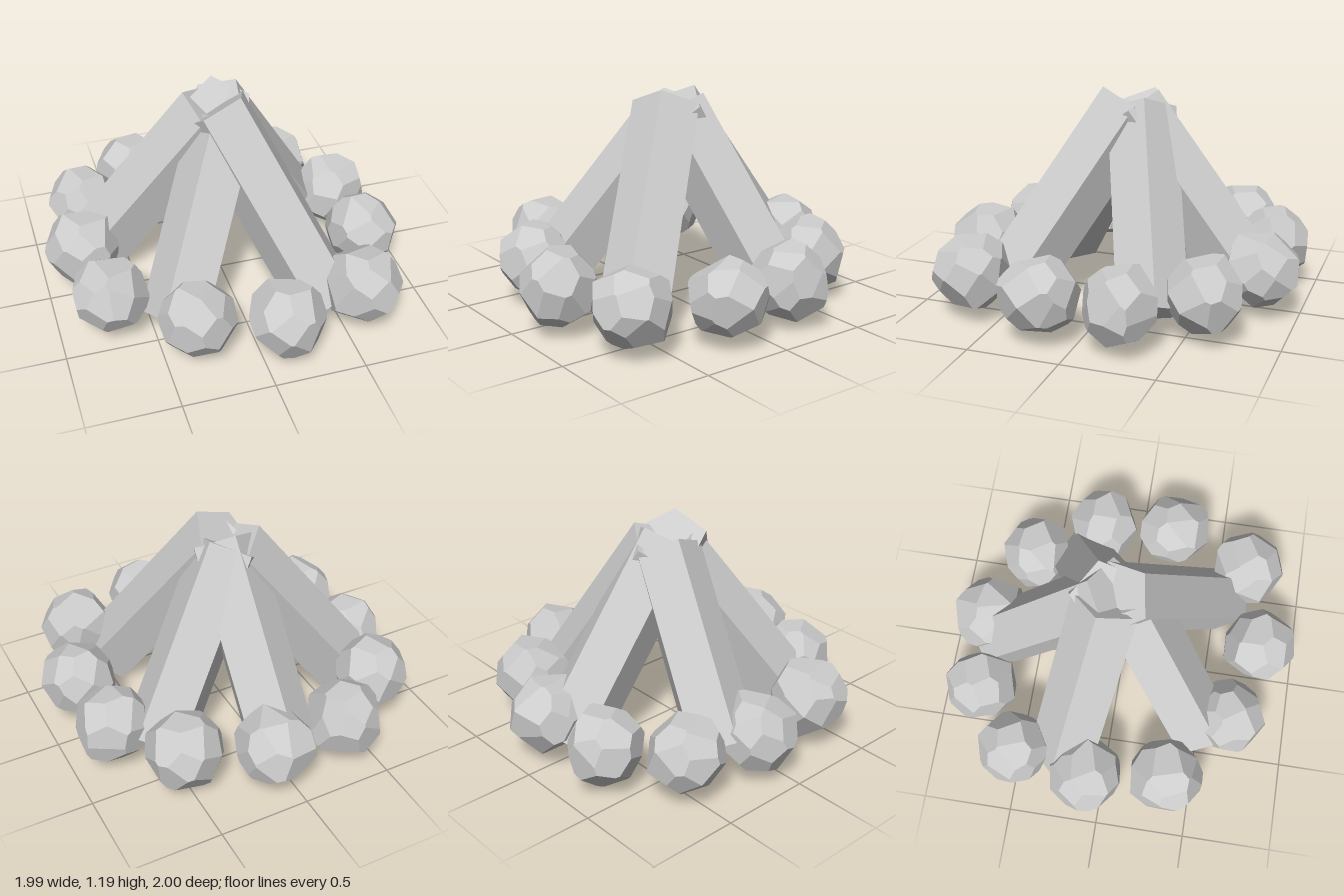
import * as THREE from 'three';
import { ConvexGeometry } from 'three/addons/geometries/ConvexGeometry.js';

const V = (x, y, z) => new THREE.Vector3(x, y, z);
const material = new THREE.MeshStandardMaterial({ color: 0xcccccc, flatShading: true });

function seeded(seed) {
  return () => (seed = (seed * 16807) % 2147483647) / 2147483647;
}

// Rounded rock: a ball shaved flat by jittered, evenly spread planes
function stoneGeometry(seed, radius) {
  const rand = seeded(seed);
  const count = 28, planes = [];
  for (let i = 0; i < count; i++) {
    const y = 1 - (2 * i + 1) / count, a = i * 2.39996, r = Math.sqrt(1 - y * y);
    const jitter = () => (rand() - 0.5) * 0.42;
    const n = V(r * Math.cos(a) + jitter(), y + jitter(), r * Math.sin(a) + jitter()).normalize();
    planes.push({ n, d: 0.97 + rand() * 0.05 });
  }
  // Corners: where three planes meet and no other plane cuts them off
  const corners = [];
  for (let i = 0; i < count; i++)
    for (let j = i + 1; j < count; j++)
      for (let k = j + 1; k < count; k++) {
        const [p, q, s] = [planes[i], planes[j], planes[k]];
        const qs = q.n.clone().cross(s.n), det = p.n.dot(qs);
        if (Math.abs(det) < 1e-4) continue;
        const c = qs.multiplyScalar(p.d)
          .addScaledVector(s.n.clone().cross(p.n), q.d)
          .addScaledVector(p.n.clone().cross(q.n), s.d)
          .divideScalar(det);
        if (planes.every((o) => o.n.dot(c) < o.d + 1e-6)) corners.push(c);
      }
  // Fit to the wanted size and centre
  const box = new THREE.Box3().setFromPoints(corners);
  const mid = box.getCenter(V(0, 0, 0)), size = box.getSize(V(0, 0, 0));
  corners.forEach((c) => c.sub(mid).multiplyScalar(2 * radius).divide(size));
  return new ConvexGeometry(corners);
}

// Five-sided log from bottom to top centre, with one ridge facing up and out
function makeLog(bottom, top) {
  const axis = top.clone().sub(bottom), length = axis.length();
  axis.normalize();
  const ridge = V(0, 1, 0).addScaledVector(axis, -axis.y).normalize();
  const side = axis.clone().cross(ridge);
  const log = new THREE.Mesh(new THREE.CylinderGeometry(0.195, 0.195, length, 5), material);
  log.quaternion.setFromRotationMatrix(new THREE.Matrix4().makeBasis(side, axis, ridge));
  log.position.copy(bottom).add(top).multiplyScalar(0.5);
  return log;
}

export function createModel() {
  const model = new THREE.Group();
  model.name = 'campfire';

  // Logs leaning together
  const logs = new THREE.Group();
  logs.name = 'logs';
  [
    [V(0.446, 0.095, 0.542), V(-0.02, 1.075, -0.02)],
    [V(-0.395, 0.13, 0.505), V(0.03, 1.0, 0)],
    [V(-0.665, 0.165, -0.24), V(-0.03, 1.03, -0.07)],
    [V(0, 0.115, -0.75), V(0, 1.06, -0.03)],
    [V(0.54, 0.126, -0.33), V(-0.02, 1.05, -0.08)],
  ].forEach(([bottom, top], i) => {
    const log = makeLog(bottom, top);
    log.name = `log${i + 1}`;
    logs.add(log);
  });

  // Ring of stones: x, z of each
  const stones = new THREE.Group();
  stones.name = 'stoneRing';
  [
    [-0.7, -0.51], [-0.36, -0.765], [0.08, -0.8], [0.5, -0.6], [0.745, -0.23], [0.79, 0.2],
    [0.61, 0.67], [0.125, 0.79], [-0.325, 0.67], [-0.715, 0.36], [-0.79, -0.095],
  ].forEach(([x, z], i) => {
    const stone = new THREE.Mesh(stoneGeometry(1234 + i * 777, 0.203), material);
    stone.name = `stone${i + 1}`;
    stone.position.set(x, 0.255, z);
    stones.add(stone);
  });

  model.add(logs, stones);
  return model;
}
